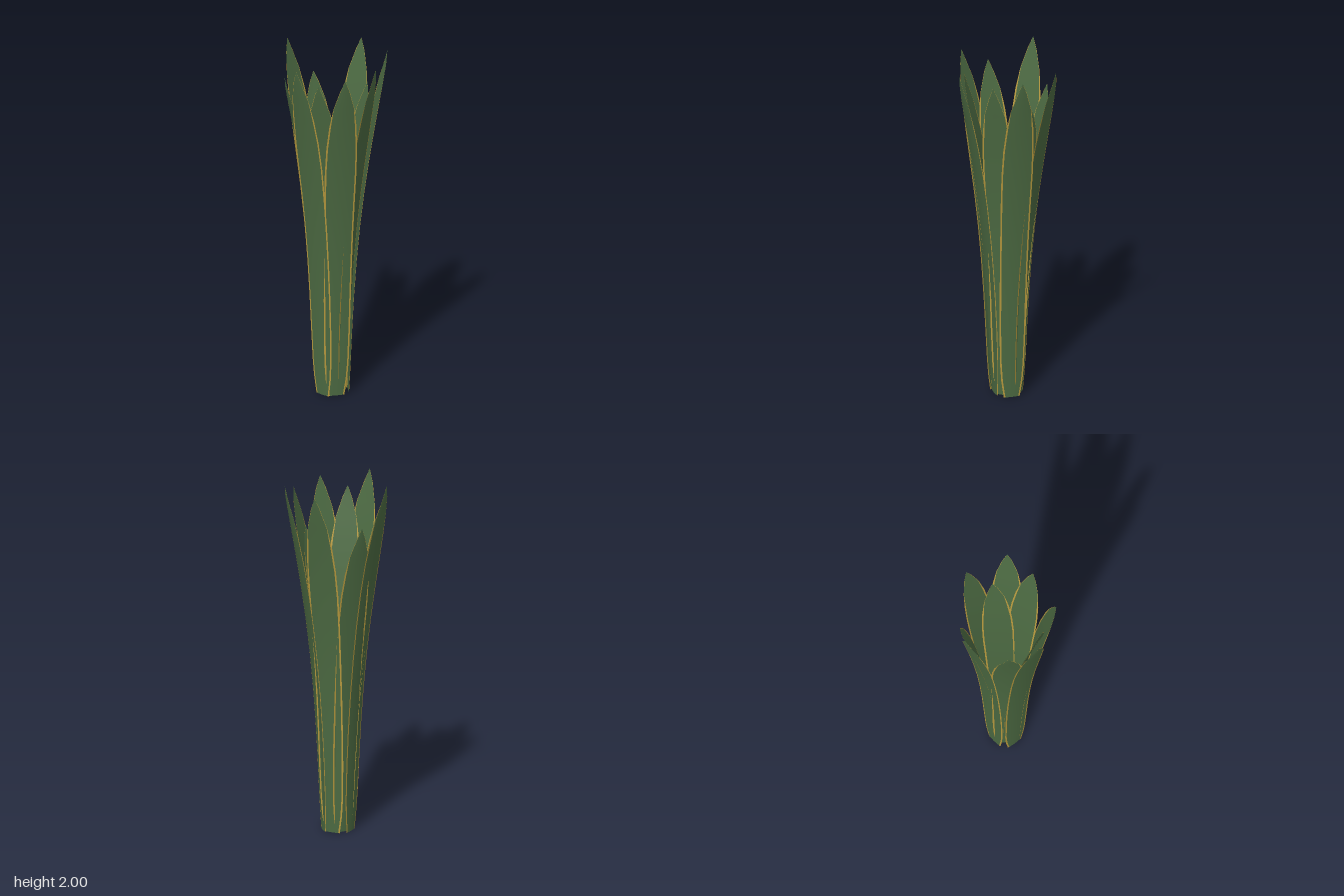
import * as THREE from 'three';

const green = new THREE.MeshStandardMaterial({ color: 0x4c6a42, side: THREE.DoubleSide });
green.name = 'leafGreen';
const gold = new THREE.MeshStandardMaterial({ color: 0xb89a3e, side: THREE.DoubleSide });
gold.name = 'marginGold';

// Leaves in growing order around the rosette: [angle in degrees, base radius, tip radius, height]
const LEAVES = [
  [-2, 0.018, 0.215, 1.77], [137, 0.025, 0.24, 1.88], [-87, 0.055, 0.252, 1.78],
  [53, 0.058, 0.255, 1.93], [192, 0.06, 0.272, 1.87], [-30, 0.07, 0.289, 1.97],
  [104, 0.075, 0.278, 1.93], [-117.5, 0.078, 0.3, 2.0], [19, 0.081, 0.298, 1.98],
  [159, 0.084, 0.302, 1.97],
];

// Blade width by fraction of the height
const WIDTH = [[0, 0.09], [0.05, 0.12], [0.1, 0.135], [0.2, 0.146], [0.3, 0.151], [0.4, 0.156],
  [0.5, 0.162], [0.6, 0.17], [0.7, 0.177], [0.78, 0.172], [0.85, 0.152], [0.91, 0.116],
  [0.965, 0.055], [1, 0.002]];

function makeLeaf([degrees, baseR, tipR, height]) {
  const a = THREE.MathUtils.degToRad(degrees);
  const position = [], index = [];

  // One cross-section row; bulge sets how far the middle bows outward
  const row = (t, w, bulge) => {
    const lean = Math.min(t / 0.988, 1);
    const r = baseR + (tipR - baseR) * (0.25 * lean + 0.75 * lean ** 2.6);
    const margin = t < 0.88 ? 0.009 : 0.002;
    const edge = 1 - Math.min(0.3, (2 * margin) / w);
    return [-1, -edge, -0.5, 0, 0.5, edge, 1].map((s) => {
      const out = r + bulge * w * (1 - s * s);
      const side = (s * w) / 2;
      return [Math.cos(a) * out - Math.sin(a) * side, t * height,
        Math.sin(a) * out + Math.cos(a) * side];
    });
  };

  // Inner face, outer face and the closed foot, each with its own vertices
  const inner = WIDTH.map(([t, w]) => row(t, w, 0.005));
  const outer = WIDTH.map(([t, w]) => row(t, w, 0.045));
  const grids = [[inner, false], [outer, true], [[outer[0], inner[0]], false]];
  const columns = [[], [], [], [], [], []];
  for (const [rows, flip] of grids) {
    const start = position.length / 3;
    rows.flat().forEach((p) => position.push(...p));
    for (let i = 0; i < rows.length - 1; i++) {
      for (let j = 0; j < 6; j++) {
        const p = start + i * 7 + j, q = p + 1, u = p + 7, v = q + 7;
        columns[j].push(...(flip ? [p, u, q, q, u, v] : [p, q, u, q, v, u]));
      }
    }
  }

  // Outermost columns are the gold margins
  const geometry = new THREE.BufferGeometry();
  columns.forEach((c, j) => {
    geometry.addGroup(index.length, c.length, j === 0 || j === 5 ? 1 : 0);
    index.push(...c);
  });
  geometry.setAttribute('position', new THREE.Float32BufferAttribute(position, 3));
  geometry.setIndex(index);
  geometry.computeVertexNormals();
  return new THREE.Mesh(geometry, [green, gold]);
}

export function createModel() {
  const plant = new THREE.Group();
  plant.name = 'plant';
  LEAVES.forEach((spec, i) => {
    const leaf = makeLeaf(spec);
    leaf.name = `leaf${i + 1}`;
    plant.add(leaf);
  });
  return plant;
}
